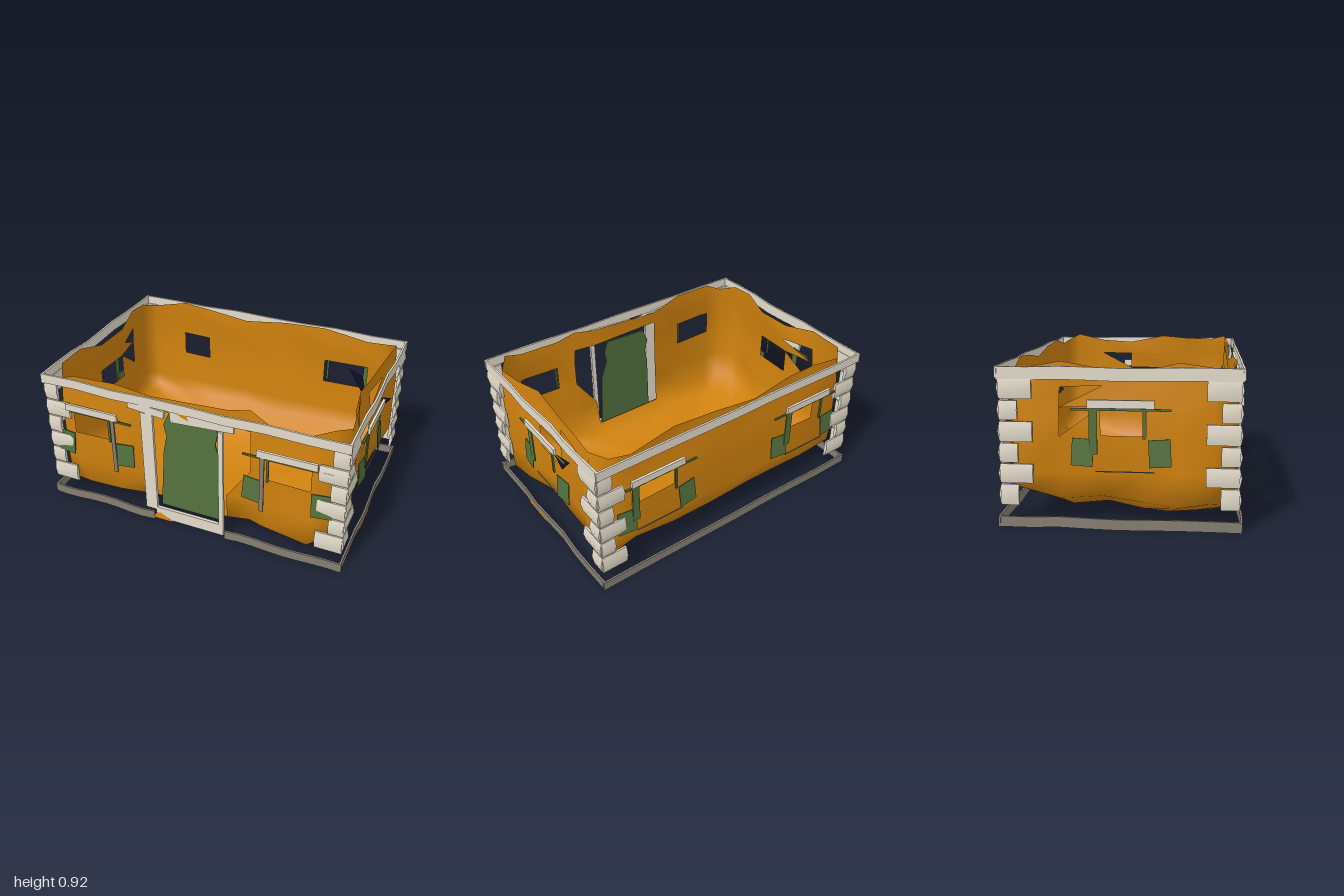
import * as THREE from 'three';

const mat = (name, color, side = THREE.FrontSide) => {
  const m = new THREE.MeshStandardMaterial({ color, side });
  m.name = name;
  return m;
};

export function createModel() {
  const orange = mat('orange plaster', 0xd0820e, THREE.DoubleSide);
  const stone = mat('pale stone', 0xe4dccb);
  const grey = mat('grey stone', 0x857e73);
  const green = mat('green wood', 0x53713d, THREE.DoubleSide);
  const dark = mat('dark navy', 0x0c0c20, THREE.DoubleSide);
  const model = new THREE.Group();

  const add = (parent, name, geo, material, x = 0, y = 0, z = 0) => {
    const m = new THREE.Mesh(geo, material);
    m.name = name;
    m.position.set(x, y, z);
    parent.add(m);
    return m;
  };
  const box = (parent, name, material, w, h, d, x, y, z) =>
    add(parent, name, new THREE.BoxGeometry(w, h, d), material, x, y, z);

  // Long strip with a slightly wavy outline, running along local x
  const strip = (name, material, len, h, d, x, y, z, turn = 0) => {
    const geo = new THREE.BoxGeometry(len, h, d, 8, 1, 1);
    const p = geo.attributes.position;
    for (let i = 0; i < p.count; i++) {
      const t = p.getX(i);
      if (Math.abs(t) < len / 2 - 0.01) {
        p.setY(i, p.getY(i) + 0.004 * Math.sin(t * 9 + x + z * 4));
        p.setZ(i, p.getZ(i) + 0.006 * Math.sin(t * 12 + x * 3));
      }
    }
    geo.computeVertexNormals();
    add(model, name, geo, material, x, y, z).rotation.y = turn;
  };

  // Open-topped shell with a bowl-shaped bottom: rings of wall points,
  // with cells left out for openings
  const ring = [
    [0.95, 0.5], [0.88, 0.6], [0.76, 0.63], [0.5, 0.62], [0.38, 0.59], [0.23, 0.59],
    [-0.27, 0.59], [-0.5, 0.62], [-0.78, 0.63], [-0.88, 0.6], [-0.95, 0.5],
    [-0.93, 0.32], [-0.89, 0.13], [-0.88, -0.12], [-0.92, -0.34], [-0.95, -0.54],
    [-0.87, -0.61], [-0.64, -0.63], [-0.44, -0.62], [-0.15, -0.63], [0.15, -0.63],
    [0.44, -0.62], [0.74, -0.63], [0.87, -0.61], [0.95, -0.54],
    [0.91, -0.34], [0.89, -0.12], [0.89, 0.13], [0.93, 0.32],
  ];
  const rows = [[0.015, 0.5], [0.06, 0.82], [0.13, 0.97], [0.3, 1], [0.51, 1], [0.67, 1], [0.78, 0.99], [0.89, 0.98]];
  const n = ring.length;
  const pos = [];
  const idx = [];
  rows.forEach(([y, s], r) => ring.forEach(([x, z], i) => {
    const corner = Math.abs(x) > 0.85 && Math.abs(z) > 0.4;
    const lump = r < 3 ? 0.025 * Math.sin(i * 2.7 + r)
      : (r === 3 || r === 6) && !corner ? 0.02 * Math.sin(i * 2.3 + r) - 0.012 : 0;
    let rise = r === 7 ? 0.03 * Math.sin(i * 1.9) : 0;
    // the bottom edge lifts towards the back
    if (r === 1 || r === 2) rise = 0.07 * Math.min(1, Math.max(0, -z * 1.8)) + 0.015 * Math.sin(i * 2.1);
    pos.push(x * (s + lump), y + rise, z * (s + lump));
  }));
  const windowCells = [2, 7, 12, 17, 21, 26];
  const isOpen = (r, i) => (r === 4 && windowCells.includes(i))
    || (i === 5 && r >= 2 && r <= 5) || (i === 4 && (r === 4 || r === 5));
  // torn cells keep only one triangle
  const isTorn = (r, i) => (i === 13 && (r === 4 || r === 5)) || (i === 25 && r === 5) || (i === 4 && r === 3);
  for (let r = 0; r < rows.length - 1; r++) {
    for (let i = 0; i < n; i++) {
      if (isOpen(r, i)) continue;
      const a = r * n + i, b = r * n + (i + 1) % n;
      idx.push(a, a + n, b);
      if (!isTorn(r, i)) idx.push(b, a + n, b + n);
    }
  }
  // Floor fan
  const centre = pos.length / 3;
  pos.push(0, 0.012, 0);
  for (let i = 0; i < n; i++) idx.push(centre, i, (i + 1) % n);
  const shell = new THREE.BufferGeometry();
  shell.setAttribute('position', new THREE.Float32BufferAttribute(pos, 3));
  shell.setIndex(idx);
  shell.computeVertexNormals();
  add(model, 'wallsAndFloor', shell, orange);

  // Top trim and base trim
  strip('topTrimFront', stone, 1.95, 0.06, 0.012, 0, 0.865, 0.65);
  strip('topTrimBack', stone, 1.95, 0.06, 0.012, 0, 0.865, -0.67);
  strip('baseTrimBack', grey, 1.96, 0.06, 0.012, 0, 0.037, -0.67);
  for (const s of [-1, 1]) {
    strip('topTrimSide', stone, 1.32, 0.07, 0.012, s * 0.965, 0.86, -0.01, Math.PI / 2);
    strip('baseTrimSide', grey, 1.32, 0.06, 0.012, s * 0.97, 0.037, -0.01, Math.PI / 2);
    strip('baseTrimFront', grey, 0.74, 0.06, 0.012, s * 0.61, 0.037, 0.65);
  }

  // Corner stones: two bulging plates per course, long and short by turns
  const plate = (w, h, x, y, z, turn) => {
    const geo = new THREE.BoxGeometry(w, h, 0.012, 2, 2, 1);
    const p = geo.attributes.position;
    for (let i = 0; i < p.count; i++) {
      if (p.getZ(i) > 0 && Math.abs(p.getY(i)) < 0.01) p.setZ(i, p.getZ(i) + 0.012);
    }
    geo.computeVertexNormals();
    add(model, 'cornerStone', geo, stone, x, y, z).rotation.y = turn;
  };
  const levels = [0.13, 0.255, 0.37, 0.485, 0.605, 0.72, 0.85];
  for (const sx of [-1, 1]) for (const sz of [-1, 1]) {
    for (let i = 0; i < 6; i++) {
      const w = i % 2 ? 0.09 : 0.165, d = i % 2 ? 0.18 : 0.1;
      const h = levels[i + 1] - levels[i] - 0.008, y = levels[i] + h / 2;
      const face = sz * 0.648 - 0.01;
      plate(w, h, sx * (0.968 - w / 2), y, face - sz * 0.006, sz > 0 ? 0 : Math.PI);
      plate(d, h, sx * 0.962, y, face - sz * d / 2, sx * Math.PI / 2);
    }
  }

  // Door, leaning back slightly, with its frame, lintel and threshold
  const doorShape = new THREE.Shape();
  [[-0.21, 0.1], [0.2, 0.1], [0.19, 0.5], [0.15, 0.62], [0.165, 0.7], [0.14, 0.78],
    [-0.15, 0.77], [-0.19, 0.68], [-0.17, 0.6], [-0.19, 0.5]]
    .forEach(([x, y], i) => (i ? doorShape.lineTo(x, y) : doorShape.moveTo(x, y)));
  add(model, 'door', new THREE.ExtrudeGeometry(doorShape, { depth: 0.01, bevelEnabled: false }),
    green, 0, 0, 0.6).rotation.x = -0.06;
  box(model, 'doorPostRightHand', stone, 0.08, 0.7, 0.02, -0.26, 0.43, 0.635);
  box(model, 'doorPostLeftHand', stone, 0.03, 0.68, 0.02, 0.215, 0.43, 0.635);
  box(model, 'threshold', stone, 0.46, 0.08, 0.02, 0, 0.06, 0.635);
  box(model, 'doorLintel', stone, 0.4, 0.07, 0.02, 0.1, 0.81, 0.64).rotation.z = 0.06;
  box(model, 'doorLintelEnd', stone, 0.24, 0.05, 0.02, -0.26, 0.81, 0.64).rotation.z = -0.1;

  // Window trim, built facing +z and turned to its wall
  const windowTrim = (x, z, turn, front = false) => {
    const g = new THREE.Group();
    g.name = 'window';
    box(g, 'lintel', stone, 0.36, 0.045, 0.016, 0, 0.698, 0.008);
    box(g, 'topBar', green, 0.54, 0.012, 0.01, 0, 0.667, 0);
    for (const s of [-1, 1]) {
      const leaf = box(g, 'shutter', green, 0.12, 0.15, 0.006, s * 0.21, 0.43, -0.004);
      leaf.rotation.set(-0.1, s * 0.08, s * 0.05);
    }
    if (front) {
      const s = x < 0 ? 1 : -1;
      box(g, 'sideStrip', grey, 0.025, 0.38, 0.01, s * 0.145, 0.49, 0.01);
      box(g, 'thinPost', green, 0.014, 0.16, 0.01, s * 0.115, 0.59, 0);
    } else {
      box(g, 'widePost', green, 0.045, 0.26, 0.008, -0.15, 0.55, 0);
      box(g, 'thinPost', green, 0.014, 0.16, 0.01, 0.125, 0.59, 0);
      box(g, 'sillLine', grey, 0.32, 0.005, 0.006, 0.02, 0.323, -0.01);
    }
    g.position.set(x, 0, z);
    g.rotation.y = turn;
    model.add(g);
  };
  windowTrim(-0.64, 0.642, 0, true);
  windowTrim(0.62, 0.642, 0, true);
  windowTrim(-0.56, -0.66, Math.PI);
  windowTrim(0.58, -0.66, Math.PI);
  windowTrim(0.95, 0, Math.PI / 2);
  windowTrim(-0.95, 0, -Math.PI / 2);

  // Loose triangles: dark ones by the side window, orange ones breaking through the trim
  const sliver = (name, material, ...pts) => {
    const geo = new THREE.BufferGeometry().setFromPoints(pts.map((p) => new THREE.Vector3(...p)));
    geo.computeVertexNormals();
    add(model, name, geo, material);
  };
  sliver('darkSliver', dark, [0.63, 0.67, -0.57], [0.85, 0.665, -0.18], [0.74, 0.67, -0.5]);
  sliver('darkSliver', dark, [0.95, 0.672, -0.15], [0.98, 0.665, -0.3], [0.92, 0.67, -0.28]);
  sliver('plasterSliver', orange, [-0.3, 0.02, 0.656], [-0.1, 0.02, 0.656], [-0.2, 0.065, 0.648]);
  sliver('plasterSliver', orange, [0.981, 0.005, 0.28], [0.981, 0.005, 0], [0.978, 0.055, 0.15]);
  sliver('plasterSliver', orange, [-0.05, 0.83, 0.653], [0.02, 0.8, 0.653], [0, 0.87, 0.65]);
  return model;
}
